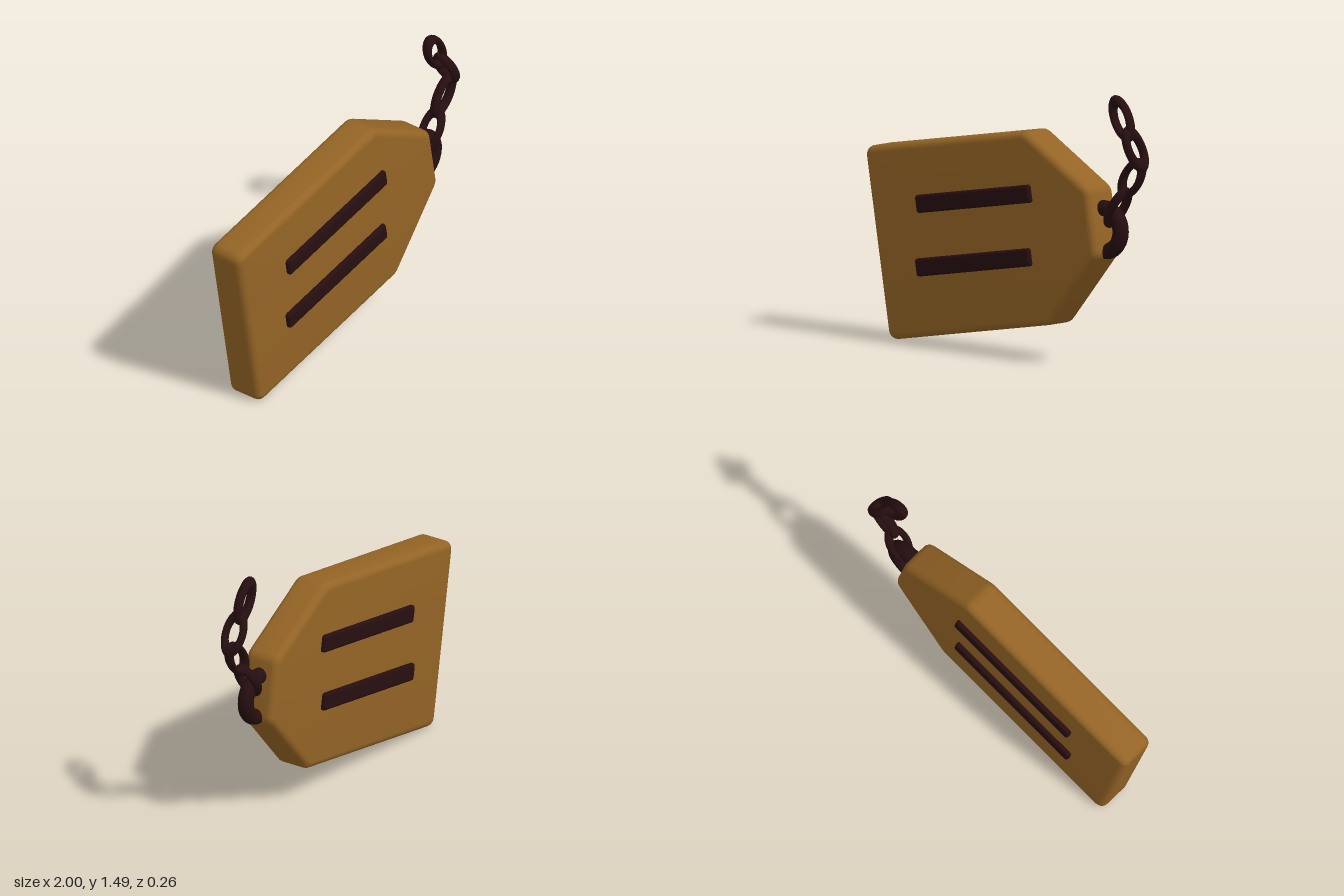
import * as THREE from 'three';
import { toCreasedNormals } from 'three/addons/utils/BufferGeometryUtils.js';
import { RoundedBoxGeometry } from 'three/addons/geometries/RoundedBoxGeometry.js';

// Closed outline with slightly rounded corners
function roundedOutline(corners, r) {
  const pts = corners.map(([x, y]) => new THREE.Vector2(x, y));
  const shape = new THREE.Shape();
  pts.forEach((p, i) => {
    const prev = pts[(i + pts.length - 1) % pts.length];
    const next = pts[(i + 1) % pts.length];
    const a = p.clone().add(prev.clone().sub(p).setLength(r));
    const b = p.clone().add(next.clone().sub(p).setLength(r));
    if (i === 0) shape.moveTo(a.x, a.y);
    else shape.lineTo(a.x, a.y);
    shape.quadraticCurveTo(p.x, p.y, b.x, b.y);
  });
  shape.closePath();
  return shape;
}

export function createModel() {
  const wood = new THREE.MeshStandardMaterial({ color: 0x946425 });
  wood.name = 'ochre wood';
  const iron = new THREE.MeshStandardMaterial({ color: 0x260e10 });
  iron.name = 'dark iron';

  const model = new THREE.Group();
  model.name = 'tag';

  const add = (parent, name, geometry, material, x, y, z = 0) => {
    const mesh = new THREE.Mesh(geometry, material);
    mesh.name = name;
    mesh.position.set(x, y, z);
    parent.add(mesh);
    return mesh;
  };

  // Tilted plate with two bars running through it
  const plate = new THREE.Group();
  plate.name = 'plate';
  plate.position.set(-0.115, 0.652, 0);
  plate.rotation.z = THREE.MathUtils.degToRad(10);
  model.add(plate);

  const bevel = 0.04, thickness = 0.21;
  const outline = roundedOutline([
    [-0.77, -0.485], [0.389, -0.485], [0.785, -0.161],
    [0.785, 0.161], [0.389, 0.485], [-0.77, 0.485],
  ], 0.015);
  const body = new THREE.ExtrudeGeometry(outline, {
    depth: thickness - 2 * bevel, bevelThickness: bevel, bevelSize: bevel,
    bevelSegments: 5, curveSegments: 5,
  });
  body.translate(0, 0, bevel - thickness / 2);
  add(plate, 'plateBody', toCreasedNormals(body, 0.6), wood, 0, 0);

  const bar = new RoundedBoxGeometry(0.86, 0.098, 0.26, 3, 0.016);
  add(plate, 'upperBar', bar, iron, -0.022, 0.19);
  add(plate, 'lowerBar', bar, iron, -0.082, -0.15);

  // Ring set into the narrow end
  add(model, 'ring', new THREE.TorusGeometry(0.116, 0.044, 16, 48), iron, 0.7, 0.75);

  // Oval links, alternately edge-on and facing the front
  const link = new THREE.TorusGeometry(0.0525, 0.0175, 14, 40);
  link.scale(1.93, 1, 1.57);
  link.computeVertexNormals();
  const links = [
    [0.795, 0.88, 57, true],
    [0.9, 1.05, 54, false],
    [0.925, 1.21, 118, true],
    [0.825, 1.365, 117, false],
  ];
  links.forEach(([x, y, angle, edgeOn], i) => {
    const mesh = add(model, 'chainLink' + (i + 1), link, iron, x, y);
    mesh.rotation.order = 'ZYX';
    mesh.rotation.z = THREE.MathUtils.degToRad(angle);
    if (edgeOn) mesh.rotation.x = Math.PI / 2;
  });

  return model;
}
